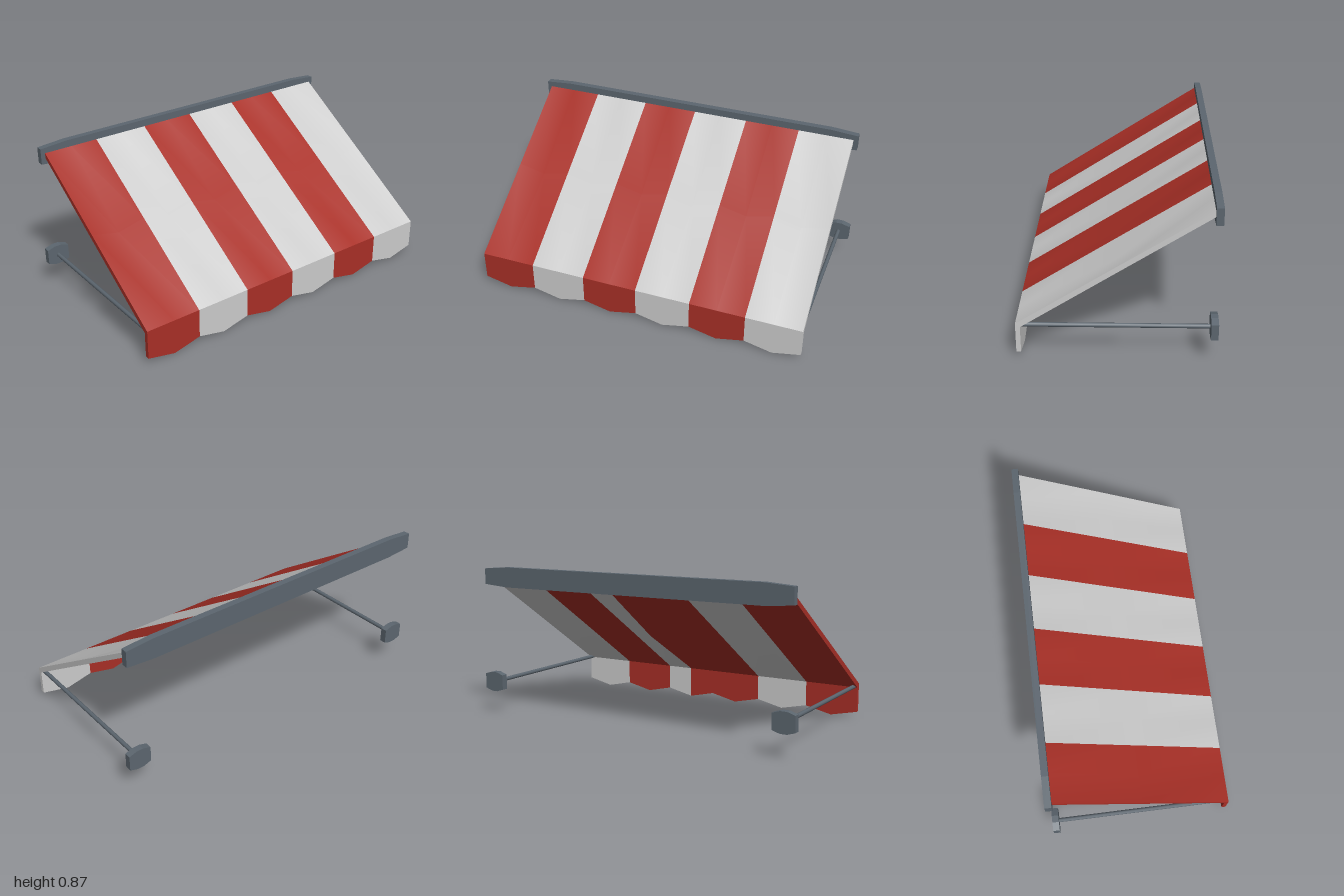
import * as THREE from 'three';
import { toCreasedNormals } from 'three/addons/utils/BufferGeometryUtils.js';

const red = new THREE.MeshStandardMaterial({ color: 0xa82f26 });
const grey = new THREE.MeshStandardMaterial({ color: 0xcccccc });
const slate = new THREE.MeshStandardMaterial({ color: 0x5c666f });

const HALF = 0.955, PANELS = 6, COLS = PANELS * 2;

// Cloth cross-section [z, y], back to front and down the valance
const OUTER = [[-0.472, 0.835], [0, 0.532], [0.507, 0.205], [0.507, 0.04]];
const INNER = [[-0.472, 0.805], [0, 0.499], [0.483, 0.185], [0.483, 0.04]];
const DROP = [0, 0.037, 0, 0.036]; // how far panel centres hang below the seams

// Striped canopy with sagging panels and a pointed valance
function createCanopy() {
  const tris = { red: [], grey: [] };
  const point = (profile, i, j) => [
    -HALF + (2 * HALF * i) / COLS,
    profile[j][1] - (i % 2 ? DROP[j] : 0),
    profile[j][0],
  ];
  const quad = (color, a, b, c, d) => tris[color].push(...a, ...b, ...c, ...a, ...c, ...d);
  const last = OUTER.length - 1;

  for (let i = 0; i < COLS; i++) {
    const color = Math.floor(i / 2) % 2 ? 'grey' : 'red';
    const lining = i === COLS / 2 ? 'red' : color; // one half panel is lined in red
    const o = (di, j) => point(OUTER, i + di, j);
    const n = (di, j) => point(INNER, i + di, j);
    for (let j = 0; j < last; j++) {
      quad(color, o(0, j), o(0, j + 1), o(1, j + 1), o(1, j));
      quad(lining, n(0, j), n(1, j), n(1, j + 1), n(0, j + 1));
      if (i === 0) quad(color, o(0, j), n(0, j), n(0, j + 1), o(0, j + 1));
      if (i === COLS - 1) quad(color, o(1, j), o(1, j + 1), n(1, j + 1), n(1, j));
    }
    quad(color, o(0, 0), o(1, 0), n(1, 0), n(0, 0));
    quad(color, o(0, last), n(0, last), n(1, last), o(1, last));
  }

  // Normals are found over the whole cloth, so they run on across the seams
  const base = new THREE.BufferGeometry();
  base.setAttribute('position', new THREE.Float32BufferAttribute([...tris.red, ...tris.grey], 3));
  const geometry = toCreasedNormals(base, 0.55);
  const split = tris.red.length / 3;
  geometry.clearGroups();
  geometry.addGroup(0, split, 0);
  geometry.addGroup(split, tris.grey.length / 3, 1);
  const mesh = new THREE.Mesh(geometry, [red, grey]);
  mesh.name = 'canopy';
  return mesh;
}

// Wall plate with cut corners
function createPlate(name, width, height, cutX, cutY, x, y) {
  const w = width / 2, h = height / 2;
  const shape = new THREE.Shape([
    [-w, -h + cutY], [-w + cutX, -h], [w - cutX, -h], [w, -h + cutY],
    [w, h - cutY], [w - cutX, h], [-w + cutX, h], [-w, h - cutY],
  ].map(([px, py]) => new THREE.Vector2(px, py)));
  const geometry = new THREE.ExtrudeGeometry(shape, { depth: 0.037, bevelEnabled: false });
  const mesh = new THREE.Mesh(geometry, slate);
  mesh.position.set(x, y, -0.508);
  mesh.name = name;
  return mesh;
}

export function createModel() {
  const group = new THREE.Group();
  group.name = 'awning';
  group.add(createCanopy());
  group.add(createPlate('wallRail', 1.96, 0.115, 0.16, 0.012, 0, 0.8175));

  // Support arms and their wall brackets
  for (const [side, sign] of [['left', 1], ['right', -1]]) {
    const arm = new THREE.Mesh(new THREE.CylinderGeometry(0.012, 0.012, 0.96, 8), slate);
    arm.rotation.x = Math.PI / 2;
    arm.position.set(sign * 0.936, 0.191, 0.005);
    arm.name = side + 'Arm';
    group.add(arm);
    group.add(createPlate(side + 'Bracket', 0.128, 0.115, 0.045, 0.014, sign * 0.936, 0.1925));
  }
  return group;
}
